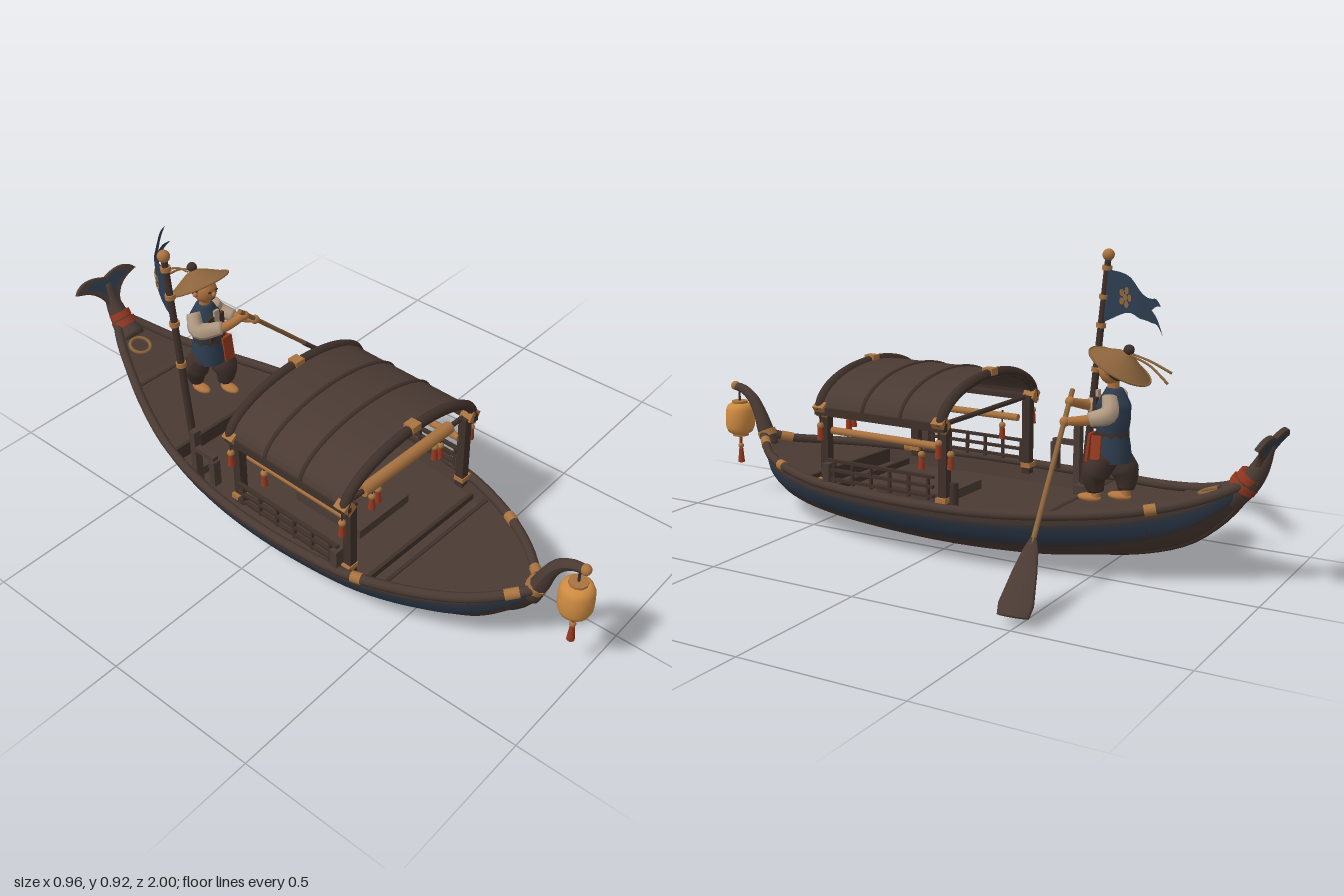
import * as THREE from 'three';

const V = (x, y, z) => new THREE.Vector3(x, y, z);
const paint = (name, color) => Object.assign(new THREE.MeshStandardMaterial({ color, side: THREE.DoubleSide }), { name });

// Hull stations: z, half width, rail height, keel height
const stations = [
  [0.84, 0.012, 0.235, 0.2], [0.78, 0.07, 0.212, 0.12], [0.7, 0.143, 0.2, 0.062], [0.58, 0.215, 0.192, 0.032],
  [0.4, 0.282, 0.183, 0.018], [0.2, 0.31, 0.18, 0.01], [0, 0.316, 0.18, 0.006], [-0.2, 0.3, 0.183, 0.01],
  [-0.4, 0.26, 0.195, 0.022], [-0.6, 0.185, 0.215, 0.055], [-0.75, 0.115, 0.245, 0.11],
  [-0.85, 0.065, 0.28, 0.19], [-0.92, 0.02, 0.315, 0.28]];
const railCurve = new THREE.CatmullRomCurve3(stations.map(s => V(s[1], s[2], s[0])));
const keelCurve = new THREE.CatmullRomCurve3(stations.map(s => V(0, s[3], s[0])));
function railAt(z) {
  let a = 0, b = 1;
  for (let i = 0; i < 30; i++) {
    const m = (a + b) / 2;
    if (railCurve.getPoint(m).z > z) a = m; else b = m;
  }
  return railCurve.getPoint(a);
}

// Smooth skin over rows of points; one group for each strip between rows
function skin(rows) {
  const n = rows[0].length, index = [];
  const g = new THREE.BufferGeometry().setFromPoints(rows.flat());
  for (let r = 0; r < rows.length - 1; r++) {
    g.addGroup(index.length, (n - 1) * 6, 0);
    for (let c = 0; c < n - 1; c++) {
      const a = r * n + c, b = a + n;
      index.push(a, b, a + 1, b, b + 1, a + 1);
    }
  }
  g.setIndex(index);
  g.computeVertexNormals();
  return g;
}

// Tube whose radius changes along the path, closed at both ends
function taper(points, radii, seg = 14, sides = 10) {
  const curve = new THREE.CatmullRomCurve3(points.map(p => V(...p)));
  const f = curve.computeFrenetFrames(seg), rows = [];
  for (let i = 0; i <= seg; i++) {
    const p = curve.getPointAt(i / seg), u = i / seg * (radii.length - 1), k = Math.min(Math.floor(u), radii.length - 2);
    const r = THREE.MathUtils.lerp(radii[k], radii[k + 1], u - k), ring = [];
    for (let j = 0; j <= sides; j++) {
      const a = j / sides * Math.PI * 2;
      ring.push(p.clone().addScaledVector(f.normals[i], r * Math.cos(a)).addScaledVector(f.binormals[i], r * Math.sin(a)));
    }
    if (i === 0) rows.push(ring.map(() => p.clone()));
    rows.push(ring);
    if (i === seg) rows.push(ring.map(() => p.clone()));
  }
  const g = skin(rows);
  g.clearGroups();
  return g;
}

export function createModel() {
  const brown = paint('brown wood', 0x4a3a33), dark = paint('dark wood', 0x3f302a), blue = paint('navy', 0x2d3c4e);
  const faded = paint('faded navy', 0x37393f), tan = paint('bamboo', 0xa9733f), gold = paint('lantern paper', 0xcf8c42);
  const red = paint('red cord', 0x96391f), cream = paint('linen', 0xb29a82), flesh = paint('skin', 0xb0743f);
  const straw = paint('straw', 0x8c643c);
  const root = new THREE.Group(), boat = new THREE.Group();
  boat.name = 'boat';
  boat.position.x = -0.155;
  boat.rotation.y = -0.035;
  root.add(boat);

  const add = (parent, name, geo, mat, x = 0, y = 0, z = 0) => {
    const m = new THREE.Mesh(geo, mat);
    m.name = name;
    m.position.set(x, y, z);
    parent.add(m);
    return m;
  };
  const box = (p, name, w, h, d, mat, x, y, z) => add(p, name, new THREE.BoxGeometry(w, h, d), mat, x, y, z);
  const ball = (p, name, r, mat, x, y, z) => add(p, name, new THREE.SphereGeometry(r, 18, 12), mat, x, y, z);
  const lathe = (p, name, pts, mat, x, y, z) =>
    add(p, name, new THREE.LatheGeometry(pts.map(q => new THREE.Vector2(...q)), 24), mat, x, y, z);
  const rod = (p, name, a, b, r, mat, r2 = r) => {
    const A = V(...a), d = V(...b).sub(A);
    const m = add(p, name, new THREE.CylinderGeometry(r2, r, d.length(), 10), mat);
    m.position.copy(A).addScaledVector(d, 0.5);
    m.quaternion.setFromUnitVectors(V(0, 1, 0), d.normalize());
    return m;
  };
  const tassel = (p, x, y, z) => {
    rod(p, 'tasselCord', [x, y + 0.05, z], [x, y, z], 0.003, dark);
    ball(p, 'tasselBead', 0.011, tan, x, y, z);
    rod(p, 'tassel', [x, y - 0.045, z], [x, y - 0.005, z], 0.011, red, 0.008);
  };

  // Hull with a painted strake that fades at its edges
  const half = [[1, 0], [0.985, 0.16], [0.965, 0.26], [0.9, 0.47], [0.8, 0.6], [0.59, 0.82], [0.3, 0.93]];
  const profile = [...half, [0, 1], ...half.slice().reverse().map(([x, y]) => [-x, y])];
  const hullGeo = skin(profile.map(([fx, fy]) => Array.from({ length: 61 }, (_, i) => {
    const r = railCurve.getPoint(i / 60), k = keelCurve.getPoint(i / 60);
    return V(r.x * fx, THREE.MathUtils.lerp(r.y, k.y, fy), r.z);
  })));
  const strake = [0, 1, 2, 1];
  hullGeo.groups.forEach((g, i) => { g.materialIndex = strake[Math.min(i, 13 - i)] ?? 0; });
  add(boat, 'hull', hullGeo, [brown, faded, blue]);
  add(boat, 'keel', taper(stations.map(s => [0, s[3] + 0.006, s[0]]), [0.014, 0.012, 0.014], 50, 6), dark);

  // Decks, risers and inner walls
  const strip = (name, z0, z1, left, right, mat) => add(boat, name, skin([left, right].map(f =>
    Array.from({ length: 25 }, (_, i) => { const z = z0 + (z1 - z0) * i / 24; return f(railAt(z), z); }))), mat);
  const deck = (name, z0, z1, drop, inset) => strip(name, z0, z1,
    (r, z) => V(-r.x * inset, r.y - drop, z), (r, z) => V(r.x * inset, r.y - drop, z), brown);
  deck('foreDeck', 0.83, 0.48, 0.012, 0.97);
  deck('cabinFloor', 0.49, -0.39, 0.055, 0.93);
  deck('aftDeck', -0.38, -0.68, 0.01, 0.97);
  deck('sternDeck', -0.68, -0.91, 0.003, 0.97);
  for (const s of [-1, 1]) {
    strip('innerWall', 0.49, -0.39, (r, z) => V(s * r.x * 0.965, r.y, z), (r, z) => V(s * r.x * 0.925, r.y - 0.056, z), brown);
    add(boat, 'gunwale', taper(stations.map(q => [s * Math.max(q[1] - 0.004, 0.01), q[2] + 0.002, q[0]]), [0.015, 0.015], 60, 8), brown);
  }
  for (const [s, z] of [[-1, 0.43], [1, 0.61], [1, -0.67], [-1, 0.805], [1, 0.805]]) {
    const r = railAt(z), n = railAt(z - 0.03);
    rod(boat, 'gunwaleWrap', [s * (r.x - 0.004), r.y + 0.002, z], [s * (n.x - 0.004), n.y + 0.002, z - 0.03], 0.017, tan);
  }
  for (const z of [0.48, 0.41, -0.38, -0.68]) {
    const r = railAt(z);
    box(boat, 'deckBeam', r.x * 1.84, z === 0.41 ? 0.02 : 0.05, 0.012, dark, 0, r.y - (z === 0.41 ? 0.045 : 0.033), z);
  }
  const coil = add(boat, 'ropeCoil', new THREE.TorusGeometry(0.034, 0.006, 8, 24), straw, -0.02, 0.268, -0.8);
  coil.rotation.x = Math.PI / 2 + 0.3;

  // Curled bow with hanging lantern
  add(boat, 'bowNeck', taper([[0, 0.19, 0.815], [0, 0.25, 0.84], [0, 0.31, 0.865], [0, 0.355, 0.895], [0, 0.382, 0.935], [0, 0.388, 0.968]],
    [0.03, 0.028, 0.022, 0.018, 0.014]), brown);
  rod(boat, 'bowCollar', [0, 0.226, 0.827], [0, 0.246, 0.836], 0.032, tan);
  ball(boat, 'bowTip', 0.016, tan, 0, 0.39, 0.972);
  rod(boat, 'lanternCord', [0, 0.33, 0.955], [0, 0.385, 0.955], 0.004, dark);
  lathe(boat, 'lantern', [[0, 0], [0.03, 0], [0.043, 0.008], [0.05, 0.025], [0.051, 0.055], [0.05, 0.085], [0.043, 0.102], [0.03, 0.11], [0, 0.11]], gold, 0, 0.22, 0.955);
  for (const y of [0.217, 0.333]) rod(boat, 'lanternCap', [0, y - 0.005, 0.955], [0, y + 0.005, 0.955], 0.028, tan);
  rod(boat, 'lanternTasselCord', [0, 0.16, 0.955], [0, 0.22, 0.955], 0.005, red);
  ball(boat, 'lanternBead', 0.01, tan, 0, 0.175, 0.955);
  rod(boat, 'lanternTassel', [0, 0.115, 0.955], [0, 0.165, 0.955], 0.012, red, 0.007);

  // Fluked stern
  add(boat, 'sternNeck', taper([[0, 0.26, -0.86], [0, 0.31, -0.915], [0, 0.355, -0.945], [0, 0.43, -0.975]], [0.045, 0.036, 0.026, 0.014]), brown);
  for (const k of [0, 1]) rod(boat, 'sternBinding', [0, 0.296 + k * 0.022, -0.897 - k * 0.016], [0, 0.314 + k * 0.022, -0.91 - k * 0.016], 0.042 - k * 0.005, red);
  const fluke = new THREE.Shape();
  fluke.moveTo(-0.018, -0.02);
  fluke.quadraticCurveTo(-0.022, 0.062, -0.122, 0.08);
  fluke.quadraticCurveTo(-0.085, 0.125, 0, 0.092);
  fluke.quadraticCurveTo(0.085, 0.125, 0.122, 0.08);
  fluke.quadraticCurveTo(0.022, 0.062, 0.018, -0.02);
  const flukeGeo = new THREE.ExtrudeGeometry(fluke, { depth: 0.01, bevelSize: 0.003, bevelThickness: 0.003, bevelSegments: 2, curveSegments: 14 });
  const tail = add(boat, 'tailFluke', flukeGeo, brown, 0, 0.362, -0.95);
  tail.rotation.x = -0.42;
  for (const z of [-0.004, 0.014]) add(tail, 'tailPaint', new THREE.ShapeGeometry(fluke, 14), blue, 0, 0.02, z).scale.set(0.75, 0.72, 1);

  // Arched canopy on posts
  const arc = (w, h, n = 28) => Array.from({ length: n + 1 }, (_, i) => {
    const a = Math.PI * i / n;
    return [w * Math.cos(a), 0.42 + h * Math.sin(a)];
  });
  const roofShape = new THREE.Shape([...arc(0.283, 0.12), ...arc(0.266, 0.104).reverse()].map(p => new THREE.Vector2(...p)));
  add(boat, 'roof', new THREE.ExtrudeGeometry(roofShape, { depth: 0.47, bevelEnabled: false }), brown, 0, 0, -0.085);
  for (const z of [0.375, 0.21, 0.07, -0.075]) {
    const end = z > 0.3 || z < 0;
    add(boat, end ? 'endArch' : 'roofRib', taper(arc(0.28, 0.118, 16).map(p => [p[0], p[1], z]), end ? [0.016, 0.016] : [0.008, 0.008], 36, 8), dark);
    if (end) box(boat, 'ridgeTie', 0.035, 0.022, 0.036, tan, 0, 0.545, z);
  }
  for (const s of [-1, 1]) {
    box(boat, 'eaveBeam', 0.02, 0.025, 0.48, dark, s * 0.277, 0.418, 0.15);
    rod(boat, 'sideRail', [s * 0.24, 0.35, -0.04], [s * 0.24, 0.35, 0.36], 0.012, tan);
    for (const z of [0.37, -0.07]) {
      box(boat, 'post', 0.028, 0.26, 0.028, dark, s * 0.252, 0.295, z);
      box(boat, 'postFoot', 0.04, 0.016, 0.034, tan, s * 0.256, 0.193, z);
      box(boat, 'cornerTie', 0.036, 0.04, 0.04, tan, s * 0.272, 0.425, z).rotation.z = -s * 0.6;
      tassel(boat, s * 0.284, 0.372, z);
    }
    // Low lattice rail
    for (const y of [0.205, 0.235, 0.265]) box(boat, 'latticeRail', 0.012, 0.009, 0.4, dark, s * 0.28, y, 0.15);
    for (let i = 0; i < 6; i++) box(boat, 'latticeBar', 0.01, 0.072, 0.008, dark, s * 0.28, 0.23, -0.03 + i * 0.07);
    box(boat, 'latticePost', 0.03, 0.06, 0.025, brown, s * 0.28, 0.225, 0.345);
    tassel(boat, s * 0.24, 0.318, 0.02);
    tassel(boat, s * 0.15, 0.375, 0.36);
    tassel(boat, s * 0.125, 0.385, 0.36);
  }
  for (const z of [0.36, -0.06]) rod(boat, 'crossBar', [-0.25, 0.42, z], [0.25, 0.42, z], 0.008, dark);
  rod(boat, 'crossBeam', [-0.19, 0.42, 0.36], [0.19, 0.42, 0.36], 0.019, tan);
  box(boat, 'cabinBench', 0.22, 0.03, 0.26, brown, 0, 0.145, 0.15);

  // Fittings along the rail behind the cabin
  box(boat, 'mooringPost', 0.026, 0.2, 0.022, brown, -0.265, 0.245, -0.25);
  box(boat, 'railBracket', 0.02, 0.016, 0.1, brown, -0.268, 0.285, -0.21);
  box(boat, 'railBlock', 0.026, 0.09, 0.024, brown, -0.27, 0.235, -0.165);
  rod(boat, 'railPeg', [0.285, 0.19, -0.125], [0.285, 0.26, -0.125], 0.013, dark);
  tassel(boat, 0.288, 0.345, -0.115);
  box(boat, 'poleStep', 0.06, 0.03, 0.06, brown, -0.225, 0.15, -0.3);

  // Flag pole and swallow-tailed flag
  const poleAt = y => [-0.378, y, -0.3 - (y - 0.2) * 0.09];
  rod(root, 'flagPole', poleAt(0.14), poleAt(0.89), 0.013, dark, 0.01);
  for (const y of [0.86, 0.77, 0.68, 0.54]) rod(root, 'poleRing', poleAt(y - 0.007), poleAt(y + 0.007), 0.016, tan);
  ball(root, 'poleBall', 0.019, tan, ...poleAt(0.9));
  const cloth = (u, y) => V(-0.372 + 0.272 * Math.pow(Math.max(u, 0), 1.8), y, -0.355 - 0.3 * u);
  const flagPart = (name, pts) => {
    const edge = k => new THREE.CatmullRomCurve3(pts.map(p => V(p[0], p[k], 0))).getPoints(14).map(q => cloth(q.x, q.y));
    add(root, name, skin([edge(1), edge(2)]), blue);
  };
  flagPart('flag', [[0, 0.857, 0.692], [0.32, 0.842, 0.732], [0.5, 0.805, 0.723], [0.62, 0.793, 0.724], [0.72, 0.794, 0.724]]);
  flagPart('flagUpperTail', [[0.72, 0.794, 0.76], [0.82, 0.799, 0.777], [0.93, 0.787, 0.785]]);
  flagPart('flagLowerTail', [[0.72, 0.762, 0.724], [0.86, 0.743, 0.726], [1, 0.711, 0.709]]);
  for (const side of [-1, 1]) for (let i = 0; i < 6; i++) {
    const a = i * Math.PI * 2 / 5, r = i < 5 ? 0.022 : 0;
    const u = 0.28 + Math.cos(a) * r / 0.35, p = cloth(u, 0.777 + Math.sin(a) * r);
    const turn = Math.atan2(0.3, 0.49 * Math.pow(u, 0.8));
    add(root, 'flagFlower', new THREE.CircleGeometry(0.011, 12), straw,
      p.x + side * 0.004 * Math.sin(turn), p.y, p.z + side * 0.004 * Math.cos(turn)).rotation.y = turn;
  }

  // Boatman
  const man = new THREE.Group();
  man.name = 'boatman';
  root.add(man);
  for (const [s, dz] of [[-1, -0.035], [1, 0.035]]) {
    const x = -0.103 + s * 0.03, z = -0.51 + dz;
    add(man, 'trouserLeg', taper([[x, 0.35, -0.512], [x + s * 0.004, 0.285, z + 0.004], [x, 0.238, z]], [0.036, 0.043, 0.024]), dark);
    rod(man, 'ankle', [x, 0.212, z], [x, 0.24, z], 0.014, flesh);
    ball(man, 'foot', 0.022, flesh, x, 0.216, z + 0.02).scale.set(0.9, 0.6, 1.7);
  }
  lathe(man, 'tunicSkirt', [[0.058, 0], [0.055, 0.04], [0.047, 0.085]], blue, -0.1, 0.33, -0.512);
  add(man, 'vest', taper([[-0.1, 0.4, -0.512], [-0.103, 0.47, -0.512], [-0.106, 0.545, -0.512]], [0.046, 0.052, 0.052, 0.025]), blue);
  for (const s of [-1, 1]) box(man, 'vestFront', 0.022, 0.09, 0.01, dark, -0.103 + s * 0.021, 0.47, -0.465);
  box(man, 'collar', 0.02, 0.06, 0.008, cream, -0.103, 0.505, -0.462);
  rod(man, 'belt', [-0.1, 0.403, -0.512], [-0.1, 0.419, -0.512], 0.05, dark);
  box(man, 'sashEnd', 0.04, 0.085, 0.008, red, -0.065, 0.372, -0.458).rotation.x = -0.12;
  box(man, 'sashSide', 0.008, 0.07, 0.03, red, -0.045, 0.375, -0.485).rotation.z = 0.12;
  const arms = [
    [[-0.15, 0.525, -0.515], [-0.165, 0.48, -0.485], [-0.11, 0.485, -0.43], [-0.035, 0.505, -0.405]],
    [[-0.065, 0.525, -0.515], [-0.04, 0.48, -0.525], [-0.015, 0.462, -0.475], [0.02, 0.457, -0.415]]];
  for (const a of arms) {
    add(man, 'sleeve', taper(a.slice(0, 3), [0.022, 0.028, 0.021]), cream);
    add(man, 'forearm', taper([a[1], a[2], a[3]], [0.012, 0.016, 0.012]), flesh);
    ball(man, 'hand', 0.015, flesh, ...a[3]);
  }
  rod(man, 'neck', [-0.106, 0.53, -0.51], [-0.106, 0.575, -0.507], 0.018, flesh);
  ball(man, 'head', 0.038, flesh, -0.106, 0.597, -0.502).scale.y = 1.15;
  ball(man, 'nose', 0.007, flesh, -0.106, 0.595, -0.463);
  for (const s of [-1, 1]) {
    box(man, 'eye', 0.011, 0.004, 0.004, dark, -0.106 + s * 0.014, 0.606, -0.466);
    ball(man, 'ear', 0.009, flesh, -0.106 + s * 0.038, 0.595, -0.505);
  }
  box(man, 'mouth', 0.016, 0.003, 0.004, dark, -0.106, 0.578, -0.468);
  ball(man, 'hair', 0.04, dark, -0.106, 0.602, -0.512);
  // Straw hat tipped back
  const hat = new THREE.Group();
  hat.name = 'hat';
  hat.position.set(-0.107, 0.61, -0.527);
  hat.rotation.x = -0.5;
  man.add(hat);
  lathe(hat, 'hatTop', [[0.1, -0.002], [0.07, 0.015], [0.035, 0.035], [0, 0.05]], straw, 0, 0, 0);
  lathe(hat, 'hatLining', [[0.1, -0.004], [0.07, 0.01], [0.035, 0.03], [0, 0.045]], dark, 0, 0, 0);
  const brim = add(hat, 'hatBrim', new THREE.TorusGeometry(0.099, 0.003, 6, 32), straw, 0, -0.001, 0);
  brim.rotation.x = Math.PI / 2;
  ball(hat, 'hatKnob', 0.016, dark, 0, 0.055, 0);
  for (const k of [0, 1]) add(man, 'hatRibbon', taper([[-0.1 - k * 0.02, 0.645, -0.56], [-0.1 - k * 0.01, 0.62 + k * 0.01, -0.62], [-0.09 - k * 0.03, 0.575 + k * 0.025, -0.68]], [0.003, 0.004]), straw);

  // Steering oar with flared blade
  rod(root, 'oarShaft', [-0.06, 0.535, -0.4], [0.33, 0.165, -0.468], 0.0075, straw);
  const bladeRows = [[0, 0.009], [0.15, 0.022], [0.45, 0.036], [0.85, 0.05], [1, 0.045]].map(([t, w]) => {
    const c = V(0.3, 0.192, -0.463).lerp(V(0.472, 0.03, -0.492), t), ring = [];
    for (let j = 0; j <= 12; j++) {
      const a = j / 12 * Math.PI * 2;
      ring.push(c.clone().add(V(Math.sin(a) * 0.006 + Math.cos(a) * w * 0.12, Math.sin(a) * 0.006, Math.cos(a) * w)));
    }
    return ring;
  });
  bladeRows.push(bladeRows[4].map(() => V(0.474, 0.028, -0.493)));
  const bladeGeo = skin(bladeRows);
  bladeGeo.clearGroups();
  add(root, 'oarBlade', bladeGeo, brown);
  return root;
}
